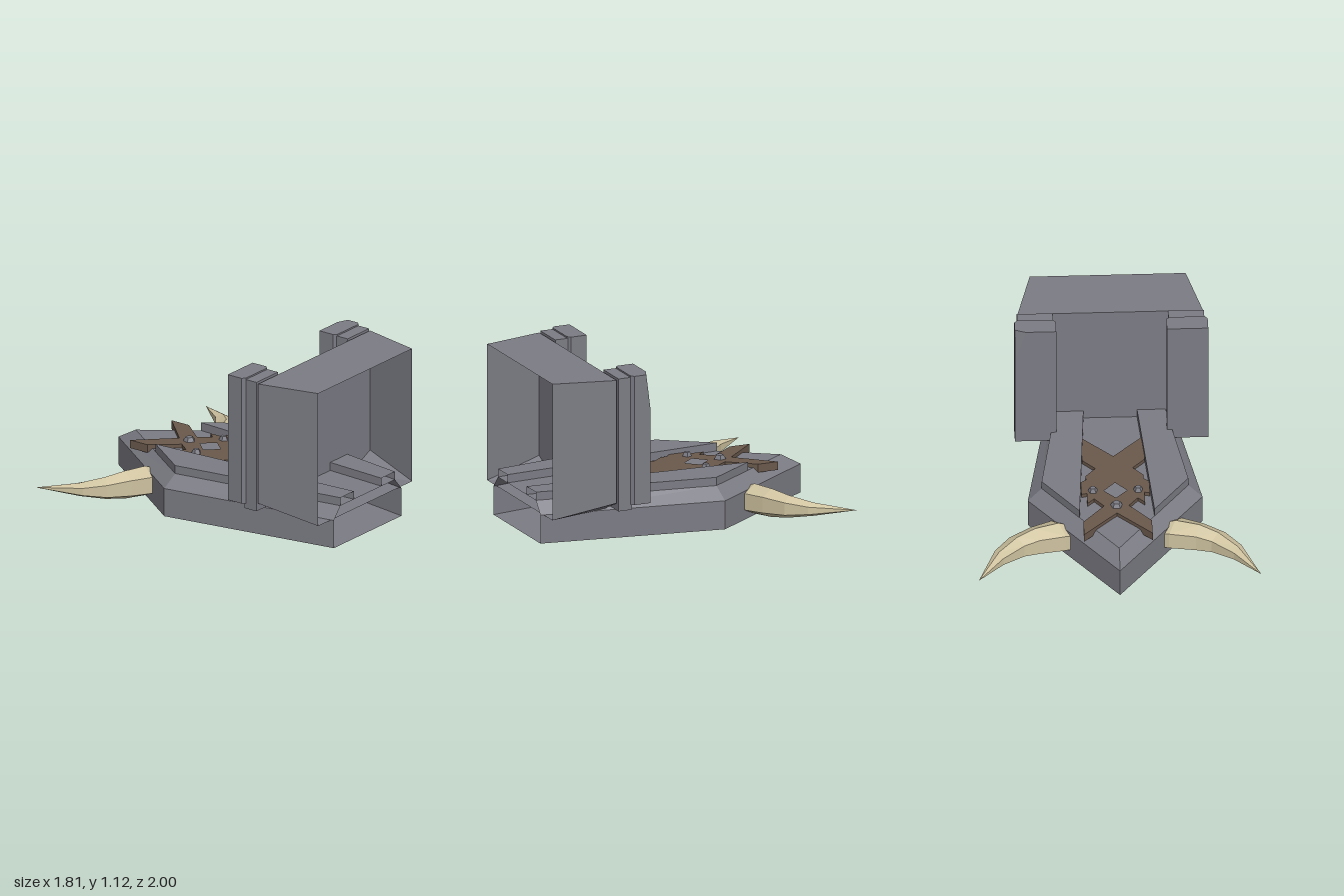
import * as THREE from 'three';
import { ConvexGeometry } from 'three/addons/geometries/ConvexGeometry.js';

const material = (name, color, side = THREE.FrontSide) => {
  const m = new THREE.MeshStandardMaterial({ color, side, flatShading: true });
  m.name = name;
  return m;
};

// Flat-sided surface from a list of polygons, each fanned into triangles
function facets(polygons) {
  const pos = [];
  for (const p of polygons)
    for (let i = 1; i < p.length - 1; i++) pos.push(...p[0], ...p[i], ...p[i + 1]);
  const g = new THREE.BufferGeometry();
  g.setAttribute('position', new THREE.Float32BufferAttribute(pos, 3));
  g.computeVertexNormals();
  return g;
}

// [x, z] outline lifted to a height
const lift = (outline, y) => outline.map(([x, z]) => [x, y, z]);

// Walls between two rings; the last edge (back to the first point) stays open
const walls = (low, high) =>
  low.slice(0, -1).map((p, i) => [p, high[i], high[i + 1], low[i + 1]]);

export function createModel() {
  const group = new THREE.Group();
  const stone = material('grey stone', 0x7c7c85, THREE.DoubleSide);
  const leather = material('brown strap', 0x6a594c);
  const ivory = material('ivory', 0xcfc3a0);
  const add = (name, geometry, mat, parent = group) => {
    const mesh = new THREE.Mesh(geometry, mat);
    mesh.name = name;
    parent.add(mesh);
    return mesh;
  };

  // Pointed base slab with a bevelled upper rim, hollow and open at the front
  const outer = [[0.36, 1], [0.56, -0.21], [0, -1], [-0.56, -0.21], [-0.36, 1]];
  const inner = [[0.29, 1], [0.47, -0.19], [0, -0.86], [-0.47, -0.19], [-0.29, 1]];
  const floor = lift(outer, 0), rim = lift(outer, 0.19), deck = lift(inner, 0.27);
  add('base', facets([
    floor.slice().reverse(), ...walls(floor, rim), ...walls(rim, deck), deck,
  ]), stone);

  // Large open-fronted block
  const plan = [[0.5, 0.98], [0.595, 0.57], [-0.595, 0.57], [-0.5, 0.98]];
  const roof = lift(plan, 1.1);
  const foot = plan.map(([x, z]) => [x, z > 0.9 ? 0.19 : 0.28, z]);
  const sillR = [0.4, 0.19, 0.57], sillL = [-0.4, 0.19, 0.57];
  add('block', facets([
    ...walls(foot, roof), roof,
    [foot[1], foot[2], sillL, sillR],
    [foot[0], sillR, foot[1]],
    [foot[3], foot[2], sillL],
    [foot[0], foot[3], sillL, sillR],
  ]), stone);

  // Raised rails, posts and horns, one of each per side
  const railPlan = [[0.29, 1], [0.47, -0.19], [0.24, -0.52], [0.145, 1]];
  const railLow = lift(railPlan, 0.27), railHigh = lift(railPlan, 0.325);
  const railGeometry = facets([...walls(railLow, railHigh), railHigh]);

  // Horn cross-sections: inner edge x, z, outer edge x, z, height centre, half height
  const sections = [
    [0.25, -0.55, 0.33, -0.41, 0.1, 0.085],
    [0.33, -0.59, 0.42, -0.415, 0.12, 0.1],
    [0.5, -0.63, 0.55, -0.48, 0.125, 0.095],
    [0.6, -0.67, 0.69, -0.57, 0.125, 0.075],
    [0.74, -0.78, 0.79, -0.69, 0.125, 0.045],
    [0.905, -0.98, 0.905, -0.98, 0.125, 0],
  ];
  const hornRings = sections.map(([ax, az, bx, bz, y, h]) =>
    [[0, 0.55], [0.5, 1], [1, 0.55], [1, -0.55], [0.5, -1], [0, -0.55]].map(([t, v]) =>
      [ax + (bx - ax) * t, y + h * v, az + (bz - az) * t]));
  const hornFaces = [hornRings[0].slice().reverse()];
  for (let k = 0; k < hornRings.length - 1; k++)
    for (let i = 0; i < 6; i++) {
      const j = (i + 1) % 6, a = hornRings[k], b = hornRings[k + 1];
      hornFaces.push([a[i], a[j], b[j], b[i]]);
    }
  const hornGeometry = facets(hornFaces);
  const hornMaterial = ivory;
  hornMaterial.side = THREE.DoubleSide;

  for (const side of [1, -1]) {
    const half = new THREE.Group();
    half.name = side > 0 ? 'leftSide' : 'rightSide';
    half.scale.x = side;
    group.add(half);
    add('rail', railGeometry, stone, half);
    add('horn', hornGeometry, hornMaterial, half);

    // Narrow post against the block
    const post = add('innerPost', new THREE.BoxGeometry(0.23, 0.885, 0.095), stone, half);
    post.position.set(0.485, 0.6675, 0.5125);

    // Wider post with a chamfer toward the narrow one; one has a chipped corner
    const pts = [];
    for (const y of [0.26, 1.12]) {
      for (const [x, z] of [[0.355, 0.345], [0.355, 0.455], [0.62, 0.455], [0.6, 0.475], [0.375, 0.475]])
        pts.push(new THREE.Vector3(x, y, z));
      if (side < 0 || y < 1) pts.push(new THREE.Vector3(0.62, y, 0.345));
    }
    if (side > 0)
      pts.push(new THREE.Vector3(0.55, 1.12, 0.345), new THREE.Vector3(0.62, 1.12, 0.373),
        new THREE.Vector3(0.62, 0.9, 0.345));
    add('outerPost', new ConvexGeometry(pts), stone, half);
  }

  // Crossed straps, drawn as half an outline and mirrored
  const edge = [[0, -0.51], [0.22, -0.74], [0.22, -0.6], [0.08, -0.43], [0.14, -0.35],
    [0.185, -0.4], [0.185, -0.29], [0.22, -0.3], [0.22, -0.17], [0.185, -0.14],
    [0.185, -0.1], [0.12, -0.02], [0.2, 0.07], [0.2, 0.32], [0, 0.11]];
  const mirrored = edge.slice(1, -1).reverse().map(([x, z]) => [-x, z]);
  const toPoints = (list) => list.map(([x, z]) => new THREE.Vector2(x, -z));
  const strapShape = new THREE.Shape(toPoints([...edge, ...mirrored]));
  strapShape.holes.push(new THREE.Path(toPoints(
    [[0, -0.345], [0.075, -0.265], [0, -0.18], [-0.075, -0.265]])));
  const strapGeometry = new THREE.ExtrudeGeometry(strapShape, { depth: 0.055, bevelEnabled: false });
  strapGeometry.rotateX(-Math.PI / 2);
  add('crossedStraps', strapGeometry, leather).position.y = 0.24;

  // Five-sided studs
  for (const [x, z, r] of [[0, -0.43, 0.042], [0.145, -0.265, 0.033], [-0.145, -0.265, 0.033]])
    add('stud', new THREE.CylinderGeometry(r * 0.6, r, 0.03, 5), stone).position.set(x, 0.307, z);

  return group;
}
